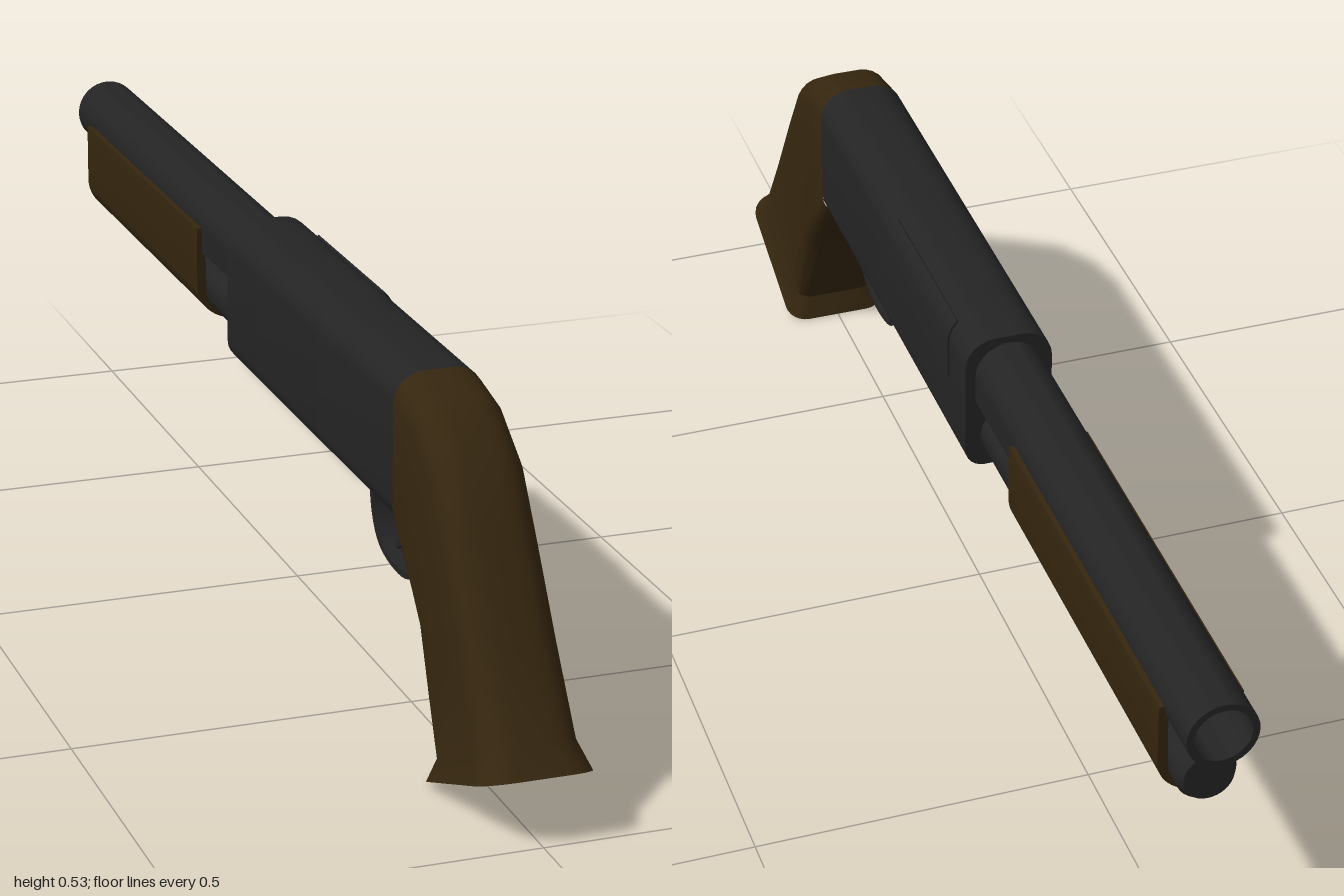
import * as THREE from 'three';
import { toCreasedNormals } from 'three/addons/utils/BufferGeometryUtils.js';

const steel = new THREE.MeshStandardMaterial({ color: 0x242425 });
steel.name = 'dark steel';
const wood = new THREE.MeshStandardMaterial({ color: 0x35260f });
wood.name = 'dark walnut';

function add(group, name, geometry, material, crease = 0.6) {
  const mesh = new THREE.Mesh(toCreasedNormals(geometry, crease), material);
  mesh.name = name;
  group.add(mesh);
  return mesh;
}

// Rounded rectangle, counter-clockwise, base on y = 0, starting at the bottom right
function section(w, h, rTop, rBottom) {
  const pts = [];
  const corners = [[1, 0, rBottom, -90], [1, 1, rTop, 0], [-1, 1, rTop, 90], [-1, 0, rBottom, 180]];
  for (const [sx, top, r, start] of corners) {
    for (let i = 0; i <= 6; i++) {
      const a = THREE.MathUtils.degToRad(start + i * 15);
      pts.push(new THREE.Vector2(sx * (w - r) + r * Math.cos(a), (top ? h - r : r) + r * Math.sin(a)));
    }
  }
  return pts;
}

function extrudeZ(pts, z0, z1) {
  const geo = new THREE.ExtrudeGeometry(new THREE.Shape(pts), { depth: z1 - z0, bevelEnabled: false });
  return geo.translate(0, 0, z0);
}

// Skin over rings of Vector3, closed at the far end
function loft(rings) {
  const pos = [];
  const tri = (...v) => v.forEach((p) => pos.push(p.x, p.y, p.z));
  const n = rings[0].length;
  for (let i = 0; i < rings.length - 1; i++) {
    for (let j = 0; j < n; j++) {
      const k = (j + 1) % n;
      const [a, b, c, d] = [rings[i][j], rings[i][k], rings[i + 1][k], rings[i + 1][j]];
      tri(a, b, c);
      tri(a, c, d);
    }
  }
  const last = rings[rings.length - 1];
  const mid = last.reduce((s, p) => s.add(p), new THREE.Vector3()).divideScalar(n);
  for (let j = 0; j < n; j++) tri(last[j], last[(j + 1) % n], mid);
  const geo = new THREE.BufferGeometry();
  geo.setAttribute('position', new THREE.Float32BufferAttribute(pos, 3));
  return geo;
}

// Flat strip that follows a [z, y] path in the side plane
function strip(path, thick, width) {
  const curve = new THREE.CatmullRomCurve3(path.map(([z, y]) => new THREE.Vector3(z, y, 0)));
  const outer = [], inner = [];
  for (let i = 0; i <= 28; i++) {
    const p = curve.getPoint(i / 28), t = curve.getTangent(i / 28);
    outer.push(new THREE.Vector2(p.x - t.y * thick / 2, p.y + t.x * thick / 2));
    inner.unshift(new THREE.Vector2(p.x + t.y * thick / 2, p.y - t.x * thick / 2));
  }
  const geo = new THREE.ExtrudeGeometry(new THREE.Shape([...outer, ...inner]), { depth: width, bevelEnabled: false });
  return geo.translate(0, 0, -width / 2).rotateY(-Math.PI / 2);
}

// Turned part along z; profile is [radius, z]
function turned(profile, y) {
  const geo = new THREE.LatheGeometry(profile.map(([r, z]) => new THREE.Vector2(r, z)), 32);
  return geo.rotateX(Math.PI / 2).translate(0, y, 0);
}

export function createModel() {
  const gun = new THREE.Group();
  gun.name = 'shotgun';

  // Receiver, with the loading slot cut into the middle of its underside
  const receiver = new THREE.Group();
  receiver.name = 'receiver';
  gun.add(receiver);
  const body = section(0.066, 0.219, 0.045, 0.03);
  const slot = [[-0.034, 0], [-0.034, 0.05], [0.034, 0.05], [0.034, 0]].map(([x, y]) => new THREE.Vector2(x, y));
  const pieces = [['receiverFront', body, -0.135, 0], ['receiverSlot', [...body, ...slot], 0, 0.28], ['receiverRear', body, 0.28, 0.595]];
  for (const [name, pts, z0, z1] of pieces) {
    add(receiver, name, extrudeZ(pts, z0, z1).translate(0, 0.316, 0), steel);
  }
  add(receiver, 'triggerPlate', new THREE.BoxGeometry(0.06, 0.012, 0.31).translate(0, 0.317, 0.435), steel);

  // Ejection port cover, on the left side only
  const cover = new THREE.Shape();
  cover.moveTo(0.05, 0.43);
  cover.lineTo(0.069, 0.43);
  cover.lineTo(0.069, 0.49);
  cover.absarc(0.021, 0.49, 0.048, 0, 0.82, false);
  cover.lineTo(0.04, 0.51);
  add(receiver, 'ejectionPort', new THREE.ExtrudeGeometry(cover, { depth: 0.29, bevelEnabled: false }).translate(0, 0, -0.06), steel);

  // Hollow barrel and the magazine tube beneath it
  add(gun, 'barrel', turned([[0, -0.7], [0.041, -0.7], [0.041, -1], [0.051, -1], [0.051, -0.1]].reverse(), 0.473), steel).material.side = THREE.DoubleSide;
  add(gun, 'magazineTube', turned([[0.043, -0.1], [0.043, -0.945], [0.036, -0.957], [0, -0.957]], 0.369), steel);

  // Action bars between the receiver and the fore-end
  for (const s of [-1, 1]) {
    add(gun, 'actionBar', new THREE.BoxGeometry(0.008, 0.035, 0.24).translate(s * 0.047, 0.45, -0.24), steel);
  }

  // Wooden fore-end: a trough around the tube and the barrel's lower half
  const trough = new THREE.Shape();
  trough.moveTo(0.059, 0.472);
  trough.lineTo(0.046, 0.472);
  trough.lineTo(0.044, 0.37);
  trough.absarc(0, 0.37, 0.044, 0, Math.PI, true);
  trough.lineTo(-0.046, 0.472);
  trough.lineTo(-0.059, 0.472);
  trough.lineTo(-0.059, 0.38);
  trough.absellipse(0, 0.38, 0.059, 0.058, Math.PI, Math.PI * 2, false);
  add(gun, 'foreEnd', new THREE.ExtrudeGeometry(trough, { depth: 0.61, bevelEnabled: false, curveSegments: 20 }).translate(0, 0, -0.92), wood);

  // Pistol grip: [top z, top y, bottom z, bottom y, half width]
  const stations = [
    [0.595, 0.535, 0.595, 0.312, 0.066],
    [0.675, 0.519, 0.625, 0.272, 0.066],
    [0.755, 0.467, 0.66, 0.232, 0.066],
    [0.813, 0.38, 0.695, 0.193, 0.067],
    [0.89, 0.255, 0.73, 0.113, 0.069],
    [0.965, 0.137, 0.766, 0.04, 0.071],
    [1.0, 0.103, 0.754, 0.004, 0.082],
    [0.975, 0.105, 0.772, 0.024, 0.066],
  ];
  const rings = stations.map(([tz, ty, bz, by, w]) => {
    const h = Math.hypot(tz - bz, ty - by);
    return section(w, h, 0.045, 0.032).map((p) => new THREE.Vector3(p.x, by + (ty - by) * p.y / h, bz + (tz - bz) * p.y / h));
  });
  add(gun, 'grip', loft(rings), wood, 0.75);

  // Trigger guard and trigger
  const guard = [[0.572, 0.32], [0.567, 0.246], [0.53, 0.209], [0.47, 0.199], [0.4, 0.216], [0.371, 0.262], [0.371, 0.32]];
  add(gun, 'triggerGuard', strip(guard, 0.009, 0.03), steel);
  add(gun, 'trigger', strip([[0.513, 0.32], [0.497, 0.257], [0.455, 0.227]], 0.011, 0.018), steel);

  return gun;
}
